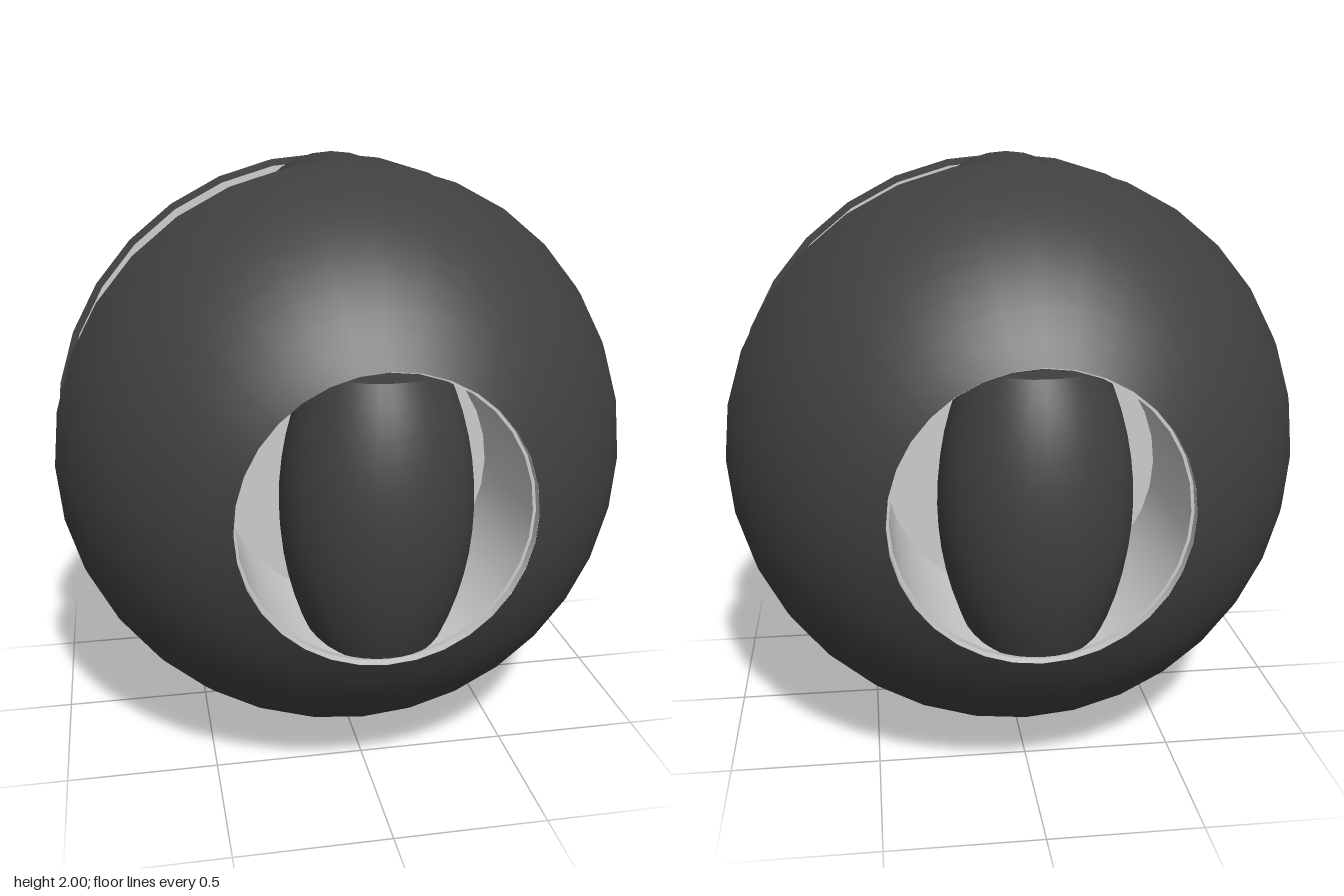
import * as THREE from 'three';
import { toCreasedNormals } from 'three/addons/utils/BufferGeometryUtils.js';
import { ParametricGeometry } from 'three/addons/geometries/ParametricGeometry.js';

const SIDES = 32, GAP = 0.18, HOLE = 0.46;
const dark = new THREE.MeshStandardMaterial({ color: 0x404040 });
const grey = new THREE.MeshStandardMaterial({ color: 0xcccccc });
const greyThin = new THREE.MeshStandardMaterial({ color: 0xcccccc, side: THREE.DoubleSide });

function add(parent, name, geometry, material) {
  const mesh = new THREE.Mesh(geometry, material);
  mesh.name = name;
  parent.add(mesh);
  return mesh;
}

// Profile of [radius, height] pairs, turned about the y axis
function turned(points, sides = SIDES) {
  const g = new THREE.LatheGeometry(points.map(([r, y]) => new THREE.Vector2(r, y)), sides);
  return toCreasedNormals(g, Math.PI / 5);
}

// One shell half, opening along +z
function shellHalf() {
  const half = new THREE.Group();
  const a0 = Math.asin(GAP), a1 = Math.acos(HOLE);
  const arc = [];
  for (let i = 0; i <= 10; i++) {
    const a = a0 + (a1 - a0) * i / 10;
    arc.push([Math.cos(a), Math.sin(a)]);
  }
  const shell = turned([[0.96, 0.21], [0.96, GAP], ...arc]);
  add(half, 'outerShell', shell.rotateX(Math.PI / 2), dark);

  // Raised inner plate with a shallow channel around it
  const plate = turned([[0, GAP], [0.78, GAP], [0.78, 0.205], [0.962, 0.205]]);
  add(half, 'innerPlate', plate.rotateX(Math.PI / 2), grey);

  // Round pocket holding the wheel, with a stepped lip
  const pocket = turned([[HOLE, 0.887], [HOLE, 0.855], [0.45, 0.855], [0.45, 0.37], [0, 0.37]]);
  add(half, 'wheelPocket', pocket.rotateX(Math.PI / 2), grey);
  return half;
}

// Barrel wheel on the y axis; its crown follows the unit sphere
function wheel(halfWidth, axleHalf) {
  const group = new THREE.Group();
  const profile = [[0, -halfWidth]];
  for (let i = 0; i <= 12; i++) {
    const y = halfWidth * (i / 6 - 1);
    profile.push([Math.sqrt(1 - y * y) - 0.7, y]);
  }
  profile.push([0, halfWidth]);
  add(group, 'roller', turned(profile), dark);
  add(group, 'axle', new THREE.CylinderGeometry(0.06, 0.06, axleHalf * 2, 16), grey);
  return group;
}

// Half width of the cross opening through the hub at height d from its axis
function opening(d) {
  d = Math.abs(d);
  if (d < 0.03) return 0.12;
  return d < 0.1 ? Math.sqrt(0.01 - d * d) : 0;
}

function hub() {
  const group = new THREE.Group();
  const R = 0.2;
  for (const s of [-1, 1]) {
    const skin = new ParametricGeometry((u, v, p) => {
      const a = u * Math.PI * 2, y = R * Math.sin(a);
      const h = opening(y);
      p.set(R * Math.cos(a), y, s * (h + (GAP - h) * v));
    }, 128, 2);
    add(group, 'hubSleeve', skin, greyThin);

    // Walls of the cross opening
    const wall = new ParametricGeometry((u, v, p) => {
      const y = 0.1 * (u * 2 - 1);
      p.set(Math.sqrt(R * R - y * y) * (v * 2 - 1), y, s * opening(y));
    }, 60, 1);
    add(group, 'hubOpeningWall', toCreasedNormals(wall, 0.6), greyThin);
  }
  return group;
}

// Ring of six pegs standing in the gap
function pegRing(parent, radius, startAngle, side, length) {
  for (let i = 0; i < 6; i++) {
    const a = startAngle + i * Math.PI / 3;
    const peg = add(parent, 'peg', new THREE.CylinderGeometry(0.034, 0.034, length, 16), grey);
    peg.rotation.x = Math.PI / 2;
    peg.position.set(radius * Math.cos(a), radius * Math.sin(a), side * (GAP - length / 2));
  }
}

export function createModel() {
  const model = new THREE.Group();
  model.name = 'sphericalRollerDrive';
  const body = new THREE.Group();
  body.name = 'body';
  body.position.y = 1;
  model.add(body);

  for (const s of [1, -1]) {
    const half = shellHalf();
    half.name = s > 0 ? 'frontShell' : 'backShell';
    half.rotation.y = s > 0 ? 0 : Math.PI;
    body.add(half);

    // Wide wheels in the front and back pockets
    const wide = wheel(0.43, 0.449);
    wide.name = s > 0 ? 'frontWheel' : 'backWheel';
    wide.position.z = 0.7 * s;
    body.add(wide);

    // Narrow wheels in the gap, above and below
    const narrow = wheel(0.173, 0.18);
    narrow.name = s > 0 ? 'topWheel' : 'bottomWheel';
    narrow.rotation.x = Math.PI / 2;
    narrow.position.y = 0.7 * s;
    body.add(narrow);
  }

  const core = hub();
  core.name = 'hub';
  body.add(core);

  const pegs = new THREE.Group();
  pegs.name = 'pegs';
  pegRing(pegs, 0.43, 0, 1, 0.035);
  pegRing(pegs, 0.43, 0, -1, 0.04);
  pegRing(pegs, 0.26, Math.PI / 6, -1, 0.05);
  body.add(pegs);
  return model;
}
